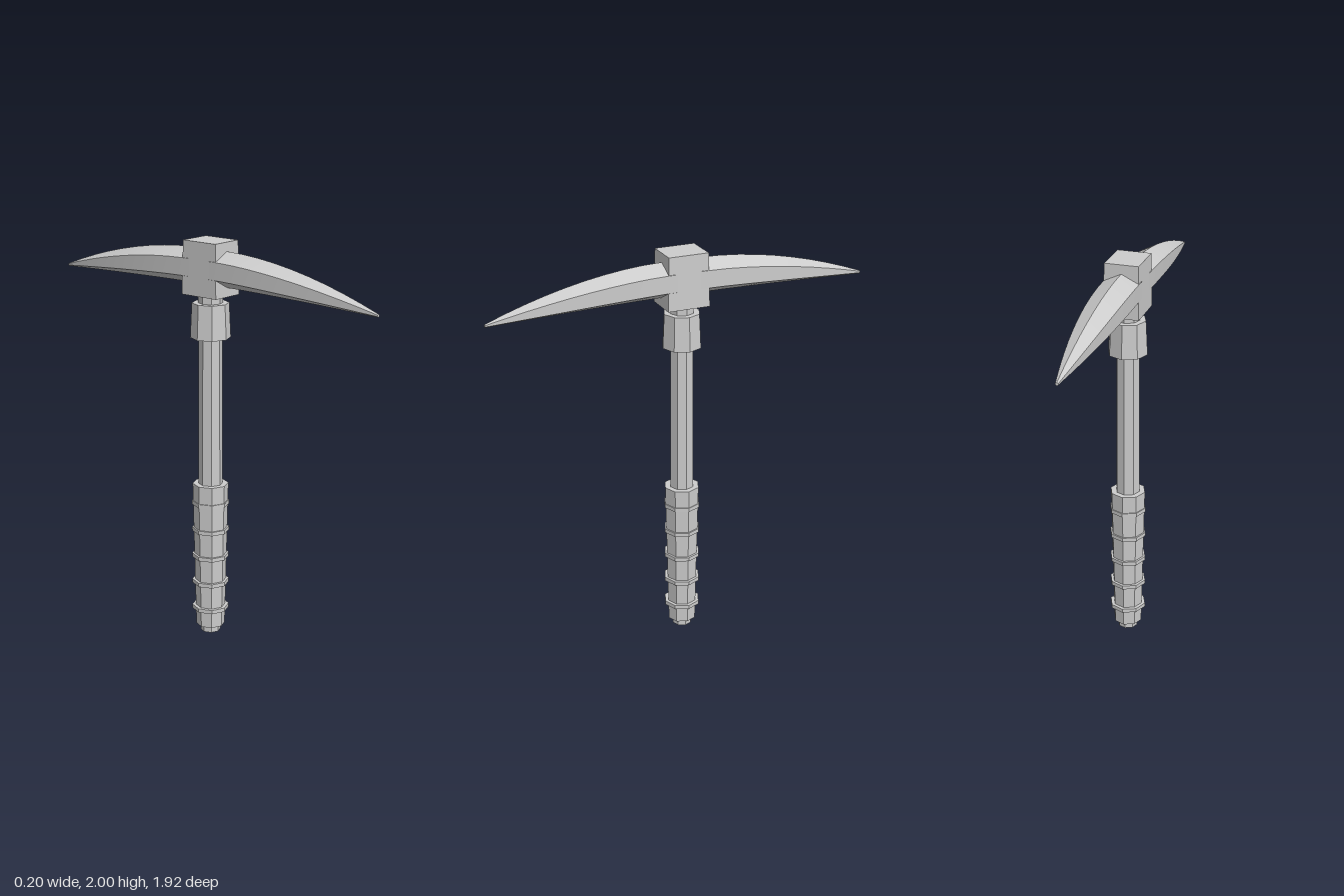
import * as THREE from 'three';

const steel = new THREE.MeshStandardMaterial({ color: 0xcccccc, flatShading: true });
steel.name = 'paleGrey';
const bladeSteel = new THREE.MeshStandardMaterial({ color: 0xcccccc });
bladeSteel.name = 'paleGreyBlade';

// Eight-sided section with an edge facing the front
function octagon(name, y0, y1, r0, r1) {
  const mesh = new THREE.Mesh(new THREE.CylinderGeometry(r1, r0, y1 - y0, 8), steel);
  mesh.position.y = (y0 + y1) / 2;
  mesh.name = name;
  return mesh;
}

// Six-sided curved spike: smooth along its length, sharp along its ridges
function bladeGeometry(segments = 10) {
  const start = 0.06, root = 0.1, tip = 0.96;
  const section = (i) => {
    const z = i === 0 ? start : root + (tip - root) * (i - 1) / (segments - 1);
    const t = Math.max(0, (z - root) / (tip - root));
    const w = 0.086 + (0.007 - 0.086) * t ** 2;
    const top = 1.956 - 0.178 * t ** 1.85;
    const shoulder = 1.915 - 0.14 * t ** 1.75;
    const lower = 1.83 - 0.062 * t ** 1.5;
    const keel = 1.784 - 0.021 * t ** 1.5;
    return [[0, top, z], [-w, shoulder, z], [-w, lower, z], [0, keel, z], [w, lower, z], [w, shoulder, z]];
  };
  const positions = [], index = [];
  for (let k = 0; k < 6; k++) {
    const base = positions.length / 3;
    for (let i = 0; i <= segments; i++) {
      const ring = section(i);
      positions.push(...ring[k], ...ring[(k + 1) % 6]);
      if (i === segments) continue;
      const a = base + i * 2;
      index.push(a, a + 1, a + 2, a + 1, a + 3, a + 2);
    }
  }
  // Blunt tip
  const base = positions.length / 3;
  section(segments).forEach((p) => positions.push(...p));
  for (let k = 1; k < 5; k++) index.push(base, base + k, base + k + 1);
  const geometry = new THREE.BufferGeometry();
  geometry.setAttribute('position', new THREE.Float32BufferAttribute(positions, 3));
  geometry.setIndex(index);
  geometry.computeVertexNormals();
  return geometry;
}

export function createModel() {
  const group = new THREE.Group();
  group.name = 'pickaxe';

  // Handle
  group.add(octagon('pommel', 0, 0.04, 0.05, 0.05));
  group.add(octagon('grip', 0.035, 0.79, 0.072, 0.089));
  for (let i = 0; i < 5; i++) {
    const y = 0.13 + i * 0.14;
    group.add(octagon('gripRing', y - 0.01, y + 0.01, 0.092, 0.092));
  }
  group.add(octagon('shaft', 0.78, 1.6, 0.06, 0.057));
  group.add(octagon('collar', 1.53, 1.7, 0.098, 0.09));
  group.add(octagon('neck', 1.69, 1.75, 0.06, 0.06));

  // Head block, slightly wider at its base
  const block = new THREE.BoxGeometry(0.166, 0.26, 0.2);
  const pos = block.attributes.position;
  for (let i = 0; i < pos.count; i++) {
    if (pos.getY(i) < 0) pos.setXYZ(i, pos.getX(i) * 1.04, pos.getY(i), pos.getZ(i) * 1.06);
  }
  const head = new THREE.Mesh(block, steel);
  head.position.y = 1.87;
  head.name = 'headBlock';
  group.add(head);

  // Front and back spikes
  const spike = bladeGeometry();
  ['frontSpike', 'backSpike'].forEach((name, i) => {
    const mesh = new THREE.Mesh(spike, bladeSteel);
    mesh.rotation.y = i * Math.PI;
    mesh.name = name;
    group.add(mesh);
  });
  return group;
}
